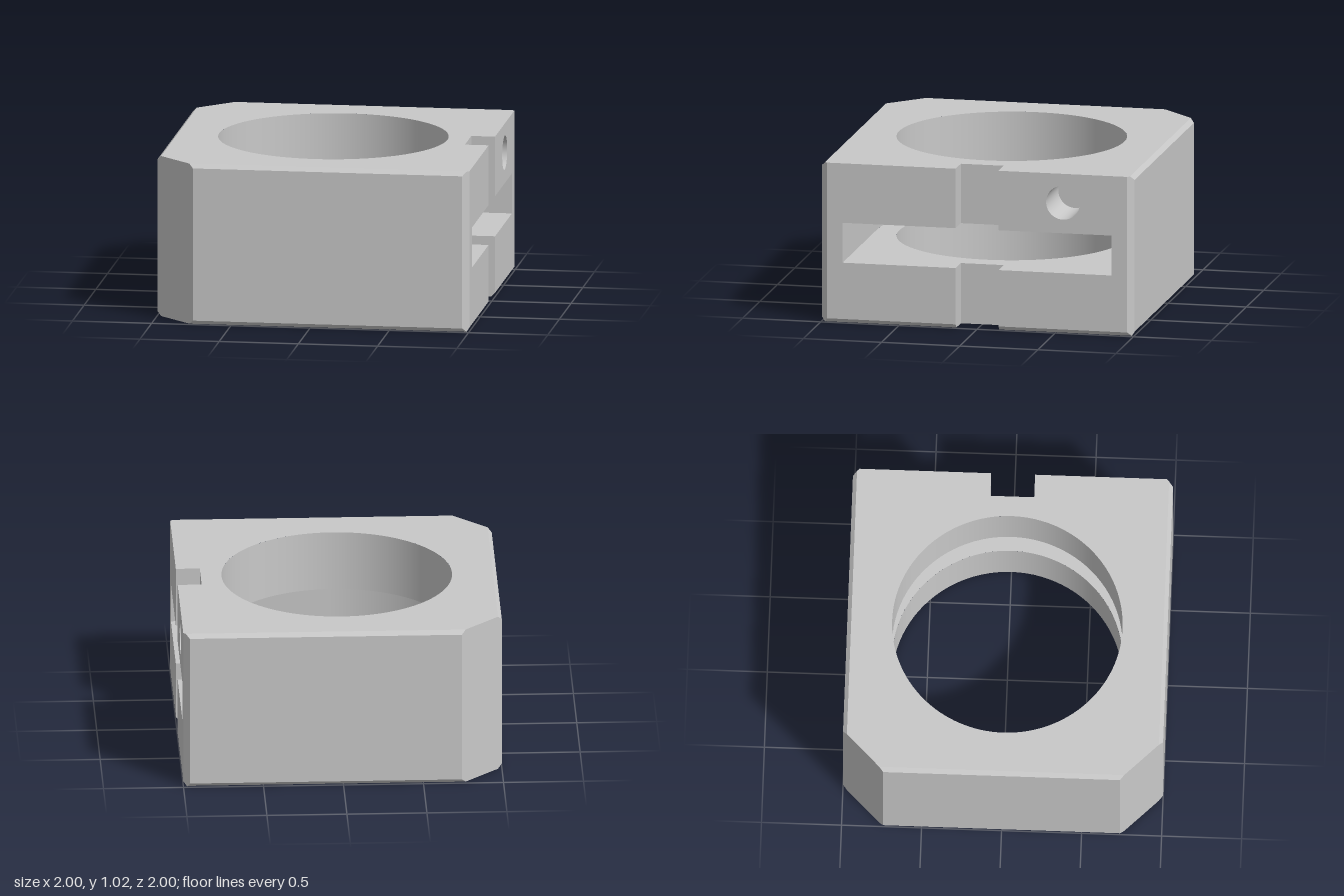
import * as THREE from 'three';

const H = 1.02, CH = 0.025;             // block height, edge chamfer
const SLOT_LO = 0.385, SLOT_HI = 0.64;  // side slot heights
const SLOT_R = 0.86, BORE_R = 0.72;     // slot half width, bore radius
const NOTCH_W = 0.137, NOTCH_X = 0.85;  // notch half width, floor of notch
const BIG = 1.74, SMALL = 1.96;         // |x| + |z| on the large and small corner cuts
const HOLE = { y: 0.835, z: -0.55, r: 0.108, depth: 0.35 };

const v2 = (pts) => pts.map(([x, y]) => new THREE.Vector2(x, y));

// Flat face: a 2D outline with optional holes, placed in space by map(u, v)
function plate(pts, map, holes = []) {
  const shape = new THREE.Shape(v2(pts));
  shape.holes.push(...holes);
  const geo = new THREE.ShapeGeometry(shape, 64);
  const p = geo.attributes.position;
  for (let i = 0; i < p.count; i++) p.setXYZ(i, ...map(p.getX(i), p.getY(i)));
  geo.computeVertexNormals();
  return geo;
}

const circle = (x, y, r) => new THREE.Path().absarc(x, y, r, 0, Math.PI * 2, true);
const rect = (u0, v0, u1, v1) => [[u0, v0], [u1, v0], [u1, v1], [u0, v1]];

// Inward-facing cylinder wall
function innerWall(r, y0, y1, start = 0, length = Math.PI * 2) {
  return new THREE.LatheGeometry(v2([[r, y1], [r, y0]]), 96, start, length);
}

// Block outline from the +x front corner round to the +x back corner
function outline(inset, insetRight) {
  const xm = 1 - insetRight, m = 1 - inset;
  const half = [[xm, SMALL - xm], [SMALL - m, m], [m - BIG, m], [-m, BIG - m]];
  return [...half, ...half.map(([x, z]) => [x, -z]).reverse()];
}

// Front, back, left and corner faces with their chamfers
function outerWalls() {
  const rings = [[0, outline(CH, CH)], [CH, outline(0, 0)], [H - CH, outline(0, 0)], [H, outline(CH, 0)]];
  const pos = [];
  for (let k = 0; k < 3; k++) {
    const [y0, lo] = rings[k], [y1, hi] = rings[k + 1];
    for (let i = 0; i < 7; i++) {
      const a = [lo[i][0], y0, lo[i][1]], b = [lo[i + 1][0], y0, lo[i + 1][1]];
      const c = [hi[i + 1][0], y1, hi[i + 1][1]], d = [hi[i][0], y1, hi[i][1]];
      pos.push(...b, ...a, ...d, ...b, ...d, ...c);
    }
  }
  const geo = new THREE.BufferGeometry();
  geo.setAttribute('position', new THREE.Float32BufferAttribute(pos, 3));
  geo.computeVertexNormals();
  return geo;
}

export function createModel() {
  const group = new THREE.Group();
  const grey = new THREE.MeshStandardMaterial({ color: 0xc8c8c8 });
  grey.name = 'light grey';
  const add = (name, geo) => {
    const mesh = new THREE.Mesh(geo, grey);
    mesh.name = name;
    group.add(mesh);
  };
  const up = (y) => (u, v) => [u, y, -v];
  const down = (y) => (u, v) => [u, y, v];
  const bore = circle(0, 0, BORE_R);
  const notch = (x) => [[x, -NOTCH_W], [NOTCH_X, -NOTCH_W], [NOTCH_X, NOTCH_W], [x, NOTCH_W]];

  add('outerWalls', outerWalls());

  // Top and bottom with bore and notch
  add('topFace', plate([...outline(CH, 0), ...notch(1)], up(H), [bore]));
  add('bottomFace', plate([...outline(CH, CH), ...notch(1 - CH)], down(0), [bore]));

  // Bore above and below the slot
  add('upperBore', innerWall(BORE_R, SLOT_HI, H));
  add('lowerBore', innerWall(BORE_R, 0, SLOT_LO));

  // U-shaped slot: floor, ceiling and round end
  const slot = [[1, SLOT_R], ...notch(1).reverse(), [1, -SLOT_R]];
  for (let i = 0; i <= 64; i++) {
    const a = -Math.PI / 2 - (i / 64) * Math.PI;
    slot.push([SLOT_R * Math.cos(a), SLOT_R * Math.sin(a)]);
  }
  add('slotFloor', plate(slot, up(SLOT_LO), [bore]));
  add('slotCeiling', plate(slot, down(SLOT_HI), [bore]));
  add('slotEnd', innerWall(SLOT_R, SLOT_LO, SLOT_HI, Math.PI, Math.PI));

  // Notch profiles below and above the slot, in x and y
  const lower = [[NOTCH_X, 0], [1 - CH, 0], [1, CH], [1, SLOT_LO], [NOTCH_X, SLOT_LO]];
  const upper = rect(NOTCH_X, SLOT_HI, 1, H);

  for (const s of [1, -1]) {
    const side = s > 0 ? 'Front' : 'Back';
    const mirror = (pts) => pts.map(([u, v]) => [-s * u, v]);
    const inward = (z) => (u, v) => [-s * u, v, s * z];

    // Slotted +x face; the back half carries the drilled hole
    const face = [[NOTCH_W, CH], [SMALL - 1, CH], [SMALL - 1, H], [NOTCH_W, H],
      [NOTCH_W, SLOT_HI], [SLOT_R, SLOT_HI], [SLOT_R, SLOT_LO], [NOTCH_W, SLOT_LO]];
    const holes = s < 0 ? [circle(-HOLE.z, HOLE.y, HOLE.r)] : [];
    add('slottedFace' + side, plate(mirror(face), (u, v) => [1, v, -u], holes));

    // Chamfer under the slotted face
    const edge = [[NOTCH_W, 0], [SMALL - 1 + CH, 0], [SMALL - 1, CH], [NOTCH_W, CH]];
    add('lowerChamfer' + side, plate(mirror(edge), (u, v) => [1 - CH + v, v, -u]));

    // Straight slot side and notch sides
    add('slotSide' + side, plate(mirror(rect(0, SLOT_LO, 1, SLOT_HI)), inward(SLOT_R)));
    add('notchLower' + side, plate(mirror(lower), inward(NOTCH_W)));
    add('notchUpper' + side, plate(mirror(upper), inward(NOTCH_W)));
  }

  // Back of the notch
  for (const [name, y0, y1] of [['notchLowerBack', 0, SLOT_LO], ['notchUpperBack', SLOT_HI, H]]) {
    add(name, plate(rect(-NOTCH_W, y0, NOTCH_W, y1), (u, v) => [NOTCH_X, v, -u]));
  }

  // Blind drilled hole
  const x0 = 1 - HOLE.depth;
  add('drilledHole', innerWall(HOLE.r, 0, HOLE.depth).rotateZ(-Math.PI / 2).translate(x0, HOLE.y, HOLE.z));
  add('drilledHoleEnd', new THREE.CircleGeometry(HOLE.r, 96).rotateY(Math.PI / 2).translate(x0, HOLE.y, HOLE.z));

  return group;
}
